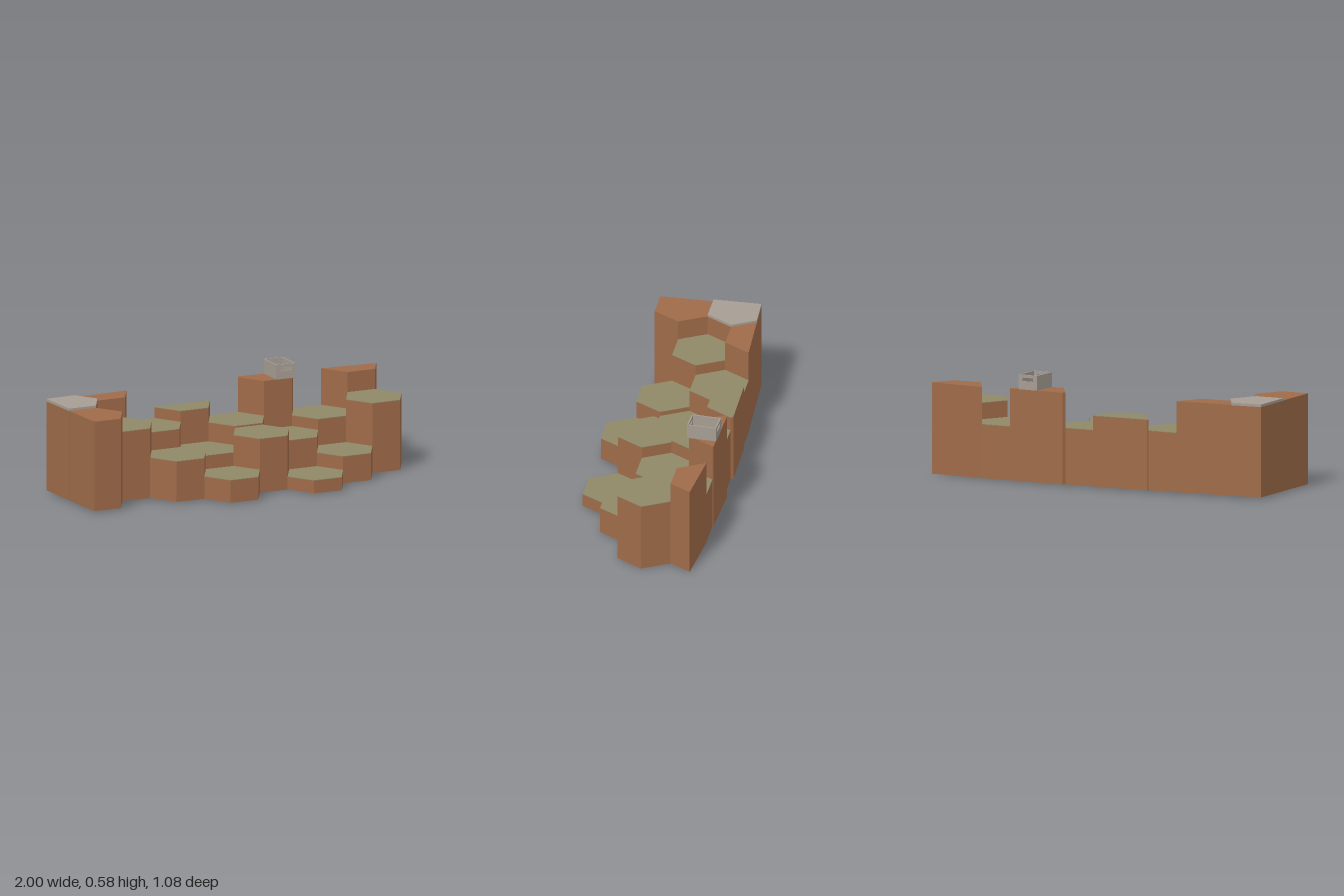
import * as THREE from 'three';

const soil = new THREE.MeshStandardMaterial({ name: 'soilBrown', color: 0x9f6b49 });
const grass = new THREE.MeshStandardMaterial({ name: 'mossGreen', color: 0x8f8867 });
const stone = new THREE.MeshStandardMaterial({ name: 'stoneGrey', color: 0xa69d93 });

// Hexagon lattice: origin, two step vectors and corner radius, as [x, z]
const ORIGIN = [-0.61, 0.168], A = [0.2815, 0.069], B = [0.2005, -0.209], R = 0.167;
const TILT = THREE.MathUtils.degToRad(13.8);

// Outer border on the left and back; columns are cut off along it
const BORDER = [[-0.84, 0.545], [-1, 0.01], [-0.39, -0.205], [0.11, -0.36], [0.6, -0.485], [0.93, -0.55]];

// Columns: steps along A, steps along B, top height, cap kind
const COLUMNS = [
  [0, -1, 0.5, 'soil'], [-1, 0, 0.498, 'slab'], [-1, 1, 0.5, 'soil'],
  [0, 0, 0.39, 'grass'], [1, 0, 0.23, 'grass'], [2, 0, 0.13, 'grass'],
  [0, 1, 0.33, 'grass'], [1, 1, 0.205, 'grass'], [2, 1, 0.3, 'grass'], [3, 1, 0.075, 'grass'],
  [0, 2, 0.39, 'grass'], [1, 2, 0.31, 'grass'], [2, 2, 0.235, 'grass'], [3, 2, 0.15, 'grass'],
  [1, 3, 0.5, 'soil'], [2, 3, 0.295, 'grass'], [3, 3, 0.385, 'grass'], [2, 4, 0.495, 'soil'],
];

// Cut a convex polygon by the line p-q, keeping its inner side
function clip(poly, p, q) {
  const side = (v) => (q[0] - p[0]) * (v[1] - p[1]) - (q[1] - p[1]) * (v[0] - p[0]);
  const out = [];
  poly.forEach((v, i) => {
    const w = poly[(i + 1) % poly.length], sv = side(v), sw = side(w);
    if (sv >= 0) out.push(v);
    if (sv * sw < 0) {
      const t = sv / (sv - sw);
      out.push([v[0] + (w[0] - v[0]) * t, v[1] + (w[1] - v[1]) * t]);
    }
  });
  return out;
}

function hexagon(i, j) {
  const cx = ORIGIN[0] + i * A[0] + j * B[0], cz = ORIGIN[1] + i * A[1] + j * B[1];
  let poly = [];
  for (let k = 0; k < 6; k++) {
    const a = TILT + Math.PI / 6 + k * Math.PI / 3;
    poly.push([cx + R * Math.cos(a), cz + R * Math.sin(a)]);
  }
  for (let k = 0; k + 1 < BORDER.length; k++) poly = clip(poly, BORDER[k], BORDER[k + 1]);
  return poly;
}

// Upright prism between two heights; the ground sinks slightly towards the right
function prism(name, poly, y0, y1, material) {
  const shape = new THREE.Shape(poly.map(([x, z]) => new THREE.Vector2(x, -z)));
  const geo = new THREE.ExtrudeGeometry(shape, { depth: y1 - y0, bevelEnabled: false });
  geo.rotateX(-Math.PI / 2).translate(0, y0, 0);
  const pos = geo.attributes.position;
  for (let i = 0; i < pos.count; i++) {
    if (pos.getY(i) < 1e-5) pos.setY(i, Math.max(0, 0.005 * (1 - pos.getX(i))));
  }
  const mesh = new THREE.Mesh(geo, material);
  mesh.name = name;
  return mesh;
}

// Open crate with a grip slot in the front and back walls
function makeCrate() {
  const crate = new THREE.Group();
  crate.name = 'crate';
  const w = 0.115, h = 0.08, d = 0.16, t = 0.007;
  const add = (name, geo, x, y, z) => {
    const mesh = new THREE.Mesh(geo, stone);
    mesh.name = name;
    mesh.position.set(x, y, z);
    crate.add(mesh);
  };
  const rect = (path, x, y0, y1) => path.moveTo(-x, y0).lineTo(x, y0).lineTo(x, y1).lineTo(-x, y1).closePath();
  const wall = new THREE.Shape();
  rect(wall, w / 2, 0, h);
  const slot = new THREE.Path();
  rect(slot, 0.033, 0.045, 0.064);
  wall.holes.push(slot);
  const wallGeo = new THREE.ExtrudeGeometry(wall, { depth: t, bevelEnabled: false });
  add('crateFront', wallGeo, 0, 0, d / 2 - t);
  add('crateBack', wallGeo, 0, 0, -d / 2);
  for (const s of [-1, 1]) {
    add('crateSide', new THREE.BoxGeometry(t, h, d - 2 * t), s * (w - t) / 2, h / 2, 0);
  }
  add('crateFloor', new THREE.BoxGeometry(w - 2 * t, t, d - 2 * t), 0, t / 2, 0);
  crate.position.set(0.34, 0.5, -0.338);
  crate.rotation.y = 0.235;
  return crate;
}

export function createModel() {
  const model = new THREE.Group();
  model.name = 'hexTerrain';
  const CAP = 0.003;
  for (const [i, j, top, kind] of COLUMNS) {
    const poly = hexagon(i, j);
    const column = new THREE.Group();
    column.name = 'hexColumn';
    column.add(prism('columnBody', poly, 0, kind === 'grass' ? top - CAP : top, soil));
    if (kind === 'grass') column.add(prism('grassTop', poly, top - CAP, top, grass));
    if (kind === 'slab') column.add(prism('stoneSlab', poly, top, 0.512, stone));
    model.add(column);
  }
  model.add(makeCrate());
  return model;
}
